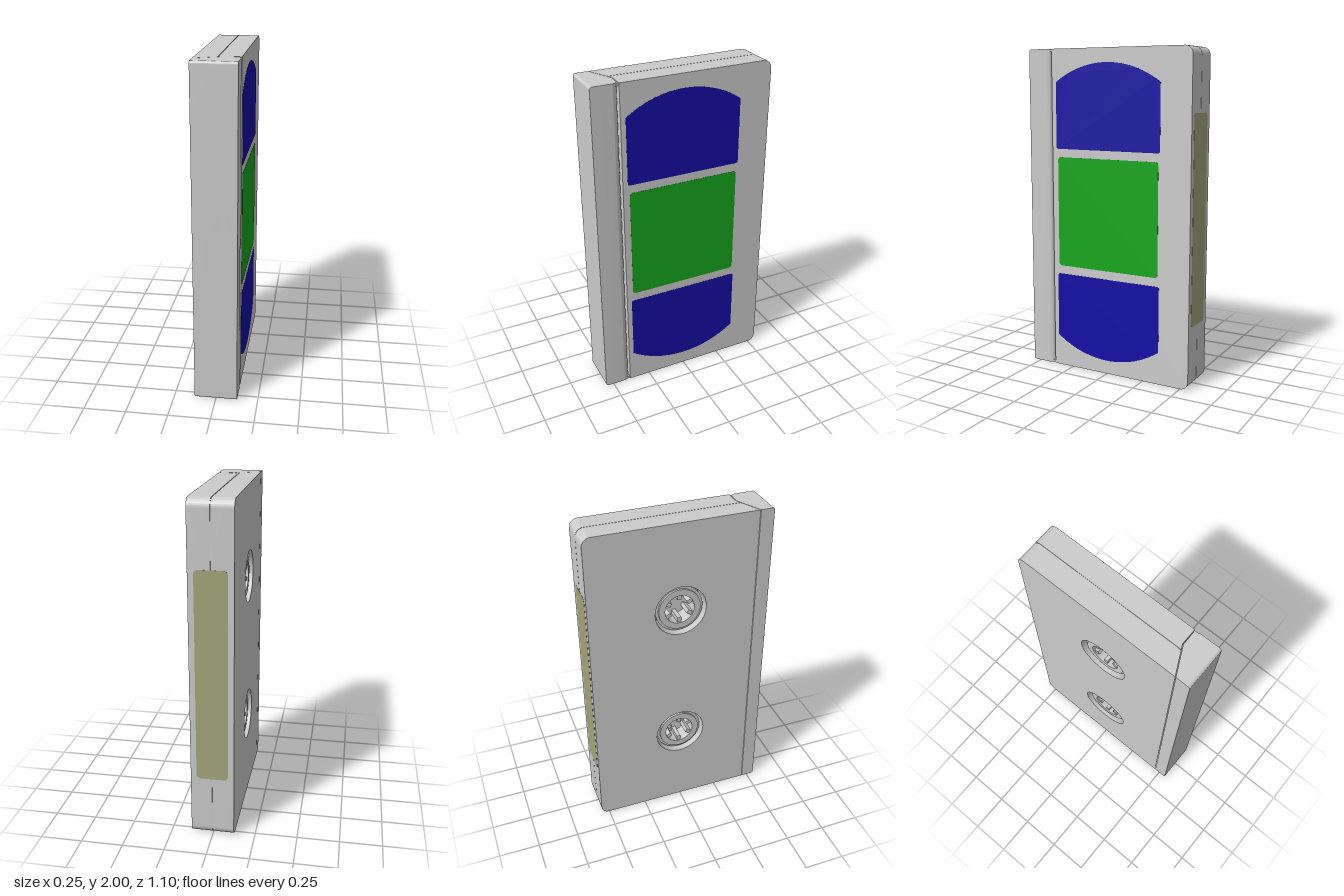
import * as THREE from 'three';
import { toCreasedNormals } from 'three/addons/utils/BufferGeometryUtils.js';

const W = 0.127;          // half thickness (x)
const D = 0.55;           // half depth (z)
const REELS = [0.547, 1.453];
const HUB_R = 0.157;

const paint = (color = 0xcccccc) => new THREE.MeshStandardMaterial({ color });

// Rectangle with one radius for the left corners and one for the right
function roundedRect(x0, y0, x1, y1, rl, rr = rl) {
  const s = new THREE.Shape();
  const corner = (cx, cy, r, a) => {
    if (r) s.absarc(cx, cy, r, a, a + Math.PI / 2, false);
    else s.lineTo(cx, cy);
  };
  s.moveTo(x0 + rl, y0);
  corner(x1 - rr, y0 + rr, rr, -Math.PI / 2);
  corner(x1 - rr, y1 - rr, rr, 0);
  corner(x0 + rl, y1 - rl, rl, Math.PI / 2);
  corner(x0 + rl, y0 + rl, rl, Math.PI);
  return s;
}

// Extrude a side outline (u = -z, v = y) through the given x stations;
// vertices on the plane z = edge are moved to edgeAt(x)
function sidePart(name, shape, xs, color, edge, edgeAt) {
  const steps = xs.length - 1;
  const geo = new THREE.ExtrudeGeometry(shape, { depth: steps, steps, bevelEnabled: false, curveSegments: 16 });
  geo.rotateY(Math.PI / 2);
  const p = geo.attributes.position;
  for (let i = 0; i < p.count; i++) {
    const x = xs[Math.round(p.getX(i))];
    p.setX(i, x);
    if (edgeAt && Math.abs(p.getZ(i) - edge) < 1e-4) p.setZ(i, edgeAt(x));
  }
  const mesh = new THREE.Mesh(toCreasedNormals(geo, 0.5), paint(color));
  mesh.name = name;
  return mesh;
}

const circle = (r, y = 0) => new THREE.Path().absarc(0, y, r, 0, Math.PI * 2, true);

// Slanted parting line between shell and tape door
const partingZ = (x) => 0.385 + Math.max(0, 0.03 - x) * 0.49;

// Reel hub seen through the shell opening: stepped ring with six drive teeth
function reelHub() {
  const hub = new THREE.Group();
  hub.name = 'reelHub';
  const ring = (name, ro, ri, x0, x1) => {
    const s = new THREE.Shape().absarc(0, 0, ro, 0, Math.PI * 2, false);
    s.holes.push(circle(ri));
    hub.add(sidePart(name, s, [x0, x1]));
  };
  ring('hubFlange', 0.145, 0.09, -0.095, 0);
  ring('hubLip', 0.128, 0.09, -0.108, -0.09);
  for (let i = 0; i < 6; i++) {
    const a = (i * Math.PI) / 3;
    const tooth = new THREE.Mesh(new THREE.BoxGeometry(0.1, 0.034, 0.024), paint());
    tooth.name = 'driveTooth';
    tooth.position.set(-0.05, 0.076 * Math.cos(a), 0.076 * Math.sin(a));
    tooth.rotation.x = a;
    hub.add(tooth);
  }
  return hub;
}

// Clear window over a reel, arched on its outer end
function reelWindow(top) {
  const y = (v) => (top ? v : 2 - v);
  const s = new THREE.Shape();
  const half = 0.355, r = 0.605, cy = 1.31;
  s.moveTo(-half + 0.008, y(1.395));
  s.lineTo(half - 0.008, y(1.395));
  s.lineTo(half, y(1.403));
  for (let i = 0; i <= 24; i++) {
    const u = half - (2 * half * i) / 24;
    s.lineTo(u, y(cy + Math.sqrt(r * r - u * u)));
  }
  s.lineTo(-half, y(1.403));
  return sidePart('reelWindow', s, [W - 0.004, W + 0.001], 0x140ea5);
}

export function createModel() {
  const model = new THREE.Group();
  model.name = 'videoCassette';

  // Two half shells with a fine seam around the middle
  const outline = () => roundedRect(-0.385, 0, D, 2, 0, 0.05);
  const lower = outline();
  REELS.forEach((y) => lower.holes.push(circle(HUB_R, y)));
  model.add(sidePart('lowerShell', lower, [-W, -0.0015], undefined, 0.385, partingZ));
  model.add(sidePart('upperShell', outline(), [0.0015, 0.03, W], undefined, 0.385, partingZ));
  model.add(sidePart('seamCore', roundedRect(-0.385, 0.004, D - 0.004, 1.996, 0, 0.046), [-0.002, 0.002]));

  // Reel hubs
  REELS.forEach((y) => {
    const hub = reelHub();
    hub.position.y = y;
    model.add(hub);
  });

  // Hinged tape door, its rear edge slanted on one side and rounded on the other
  const doorXs = [-W, 0.03, 0.09];
  for (let i = 1; i <= 8; i++) doorXs.push(0.09 + 0.037 * Math.sin((i * Math.PI) / 16));
  const doorBack = (x) => {
    const t = Math.min(1, Math.max(0, (x - 0.09) / 0.037));
    return partingZ(x) + 0.004 + 0.035 * (1 - Math.sqrt(1 - t * t));
  };
  model.add(sidePart('tapeDoor', roundedRect(-D, 0, -0.389, 2, 0.015, 0), doorXs, undefined, 0.389, doorBack));

  // Small door stops at both ends of the hinge groove
  [0.01, 1.99].forEach((y) => {
    const stop = new THREE.Mesh(new THREE.BoxGeometry(0.03, 0.012, 0.03), paint());
    stop.name = 'doorStop';
    stop.position.set(0.109, y, 0.402);
    model.add(stop);
  });

  // Windows and face label
  model.add(reelWindow(true), reelWindow(false));
  model.add(sidePart('faceLabel', roundedRect(-0.345, 0.658, 0.345, 1.344, 0.02), [W - 0.004, W + 0.001], 0x15a61c));

  // Spine label on the back
  const spine = new THREE.Mesh(
    new THREE.ExtrudeGeometry(roundedRect(-0.093, 0.375, 0.093, 1.625, 0.025), { depth: 0.005, bevelEnabled: false }),
    paint(0xa4a67a)
  );
  spine.name = 'spineLabel';
  spine.position.z = -D - 0.001;
  model.add(spine);

  return model;
}
